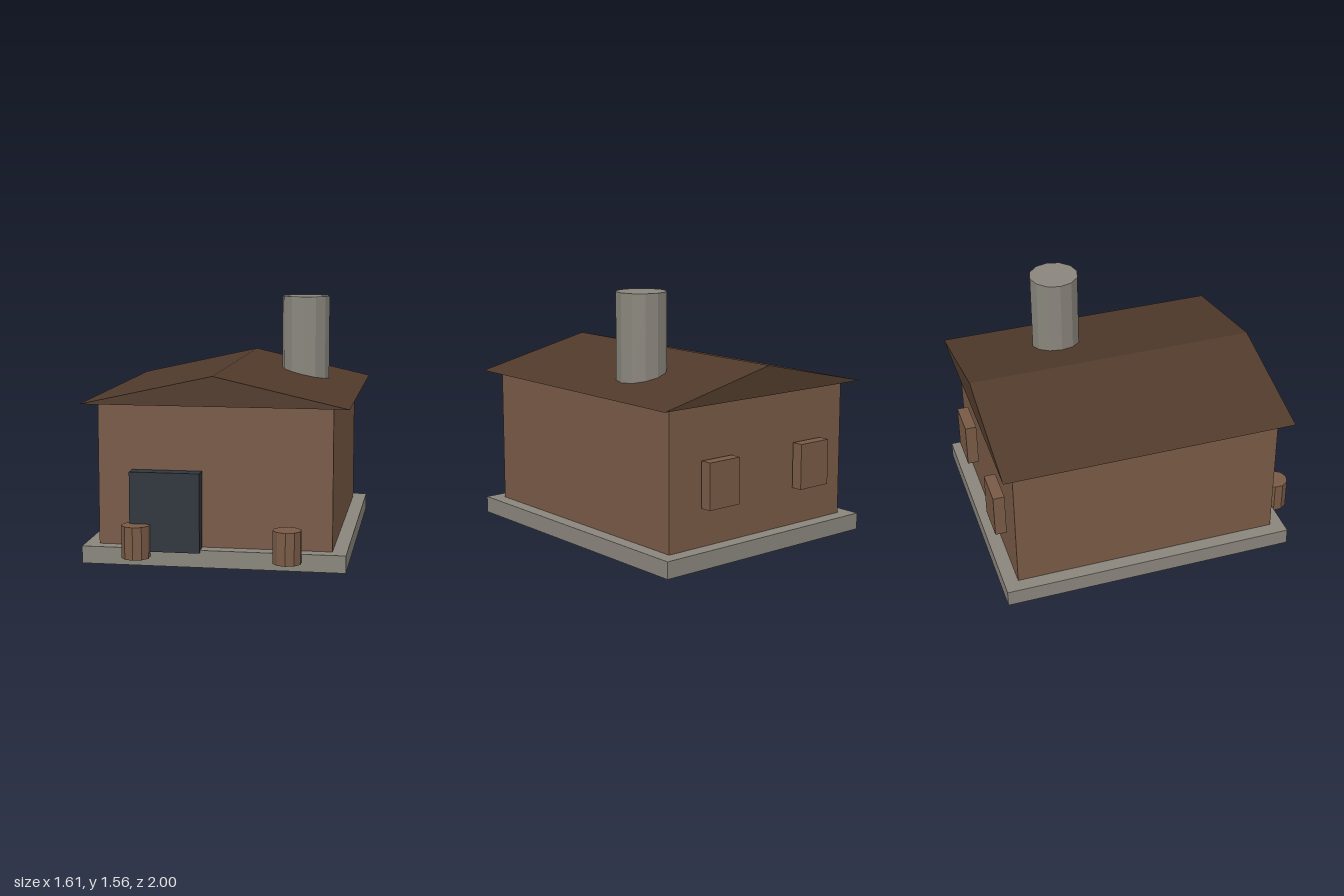
import * as THREE from 'three';

export function createModel() {
  const model = new THREE.Group();
  model.name = 'cottage';

  const material = (name, color) => {
    const m = new THREE.MeshStandardMaterial({ color, flatShading: true });
    m.name = name;
    return m;
  };
  const stone = material('stone', 0x8a867d);
  const wood = material('wood', 0x785a46);
  const roofBrown = material('roofBrown', 0x503a2b);
  const doorBlue = material('doorBlue', 0x2e363d);

  const add = (name, geometry, mat) => {
    const mesh = new THREE.Mesh(geometry, mat);
    mesh.name = name;
    model.add(mesh);
    return mesh;
  };
  // Box given by its lower and upper limits on each axis
  const box = (name, mat, [x0, x1], [y0, y1], [z0, z1]) =>
    add(name, new THREE.BoxGeometry(x1 - x0, y1 - y0, z1 - z0), mat)
      .position.set((x0 + x1) / 2, (y0 + y1) / 2, (z0 + z1) / 2);
  // Upright cylinder between two heights
  const post = (name, mat, x, z, radius, y0, y1, sides) =>
    add(name, new THREE.CylinderGeometry(radius, radius, y1 - y0, sides), mat)
      .position.set(x, (y0 + y1) / 2, z);

  // Foundation and walls
  box('foundation', stone, [-0.795, 0.795], [0, 0.105], [-1, 0.87]);
  box('walls', wood, [-0.708, 0.708], [0.1, 0.967], [-0.91, 0.785]);

  // Gabled roof
  const gable = new THREE.Shape([
    new THREE.Vector2(-0.805, 0.965),
    new THREE.Vector2(0.805, 0.965),
    new THREE.Vector2(0, 1.145),
  ]);
  add('roof', new THREE.ExtrudeGeometry(gable, { depth: 1.842, bevelEnabled: false }), roofBrown)
    .position.z = -0.986;

  // Chimney through the right-hand slope
  post('chimney', stone, 0.424, -0.316, 0.156, 0.93, 1.558, 12);

  // Door slab
  box('door', doorBlue, [-0.497, -0.073], [0.09, 0.57], [0.797, 0.89]);

  // Barrels at the front, shutters at the back
  for (const side of [-1, 1]) {
    post('barrel', wood, side * 0.453, 0.915, 0.086, 0.06, 0.257, 10);
    const x = -0.022 + side * 0.375;
    box('shutter', wood, [x - 0.118, x + 0.118], [0.343, 0.628], [-0.994, -0.922]);
  }
  return model;
}
